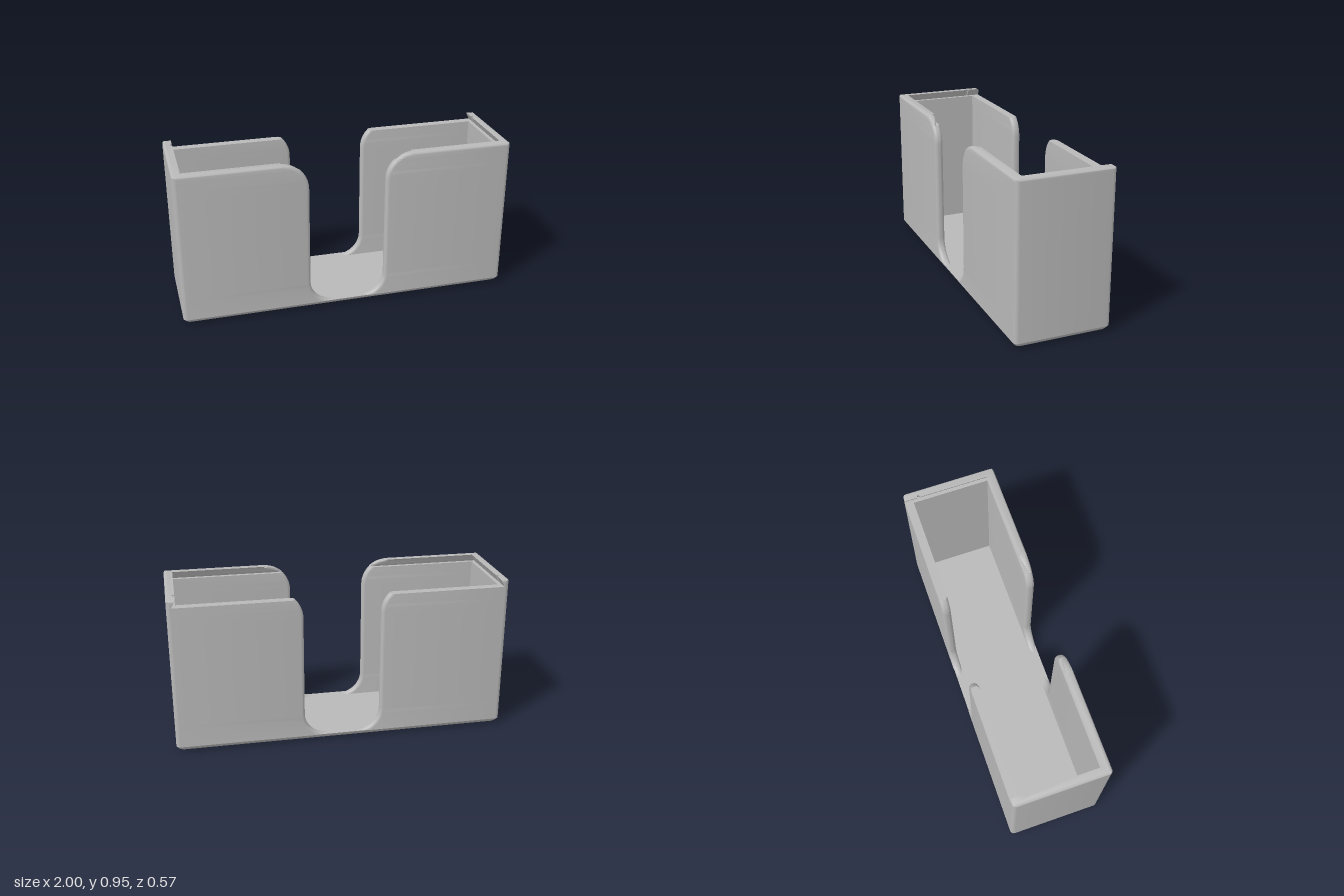
import * as THREE from 'three';
import { toCreasedNormals } from 'three/addons/utils/BufferGeometryUtils.js';

// Overall half length, half depth, height, wall and floor thickness, lid ledge height
const X = 1, Z = 0.287, H = 0.95, WALL = 0.052, FLOOR = 0.035, LEDGE = 0.905;
const CORNER = 0.025, EDGE = 0.02, TOP_EDGE = 0.015, BOTTOM_EDGE = 0.05;
// Finger cutout: half width, lower and upper fillet radii
const CUT = 0.23, LOW_R = 0.14, HIGH_R = 0.16;
const IN_X = X - WALL, IN_Z = Z - WALL;

// Points [x, z] on an arc, angles in degrees
function arc(cx, cz, r, from, to, n = 5) {
  return Array.from({ length: n + 1 }, (_, i) => {
    const a = THREE.MathUtils.degToRad(from + ((to - from) * i) / n);
    return [cx + r * Math.cos(a), cz + r * Math.sin(a)];
  });
}

// Stacks a plan outline at the given heights, moving each point by rule(x, y, z)
function loft(points, heights, rule, side = 1) {
  const shape = new THREE.Shape(points.map(([x, z]) => new THREE.Vector2(x * side, -z)));
  const steps = heights.length - 1;
  const geo = new THREE.ExtrudeGeometry(shape, { depth: steps, steps, bevelEnabled: false });
  const p = geo.attributes.position;
  for (let i = 0; i < p.count; i++) {
    const y = heights[Math.round(p.getZ(i))];
    const [x, z] = rule(p.getX(i) * side, y, -p.getY(i));
    p.setXYZ(i, x * side, y, z);
  }
  return toCreasedNormals(geo, 0.6);
}

// Half width of the cutout at height y, offset d into the wall for its rounded edge
function cutWidth(y, d) {
  const lowY = FLOOR + LOW_R, highY = H - HIGH_R;
  if (y < lowY) return CUT - LOW_R + Math.sqrt((LOW_R + d) ** 2 - (lowY - y) ** 2);
  if (y > highY) return CUT + HIGH_R - Math.sqrt(Math.max(0, (HIGH_R - d) ** 2 - (y - highY) ** 2));
  return CUT + d;
}

const range = (n, f) => Array.from({ length: n + 1 }, (_, i) => f(i / n));

export function createModel() {
  const group = new THREE.Group();
  const grey = new THREE.MeshStandardMaterial({ color: 0xb8b8b8 });
  grey.name = 'grey plastic';
  const add = (name, geo) => {
    const mesh = new THREE.Mesh(geo, grey);
    mesh.name = name;
    group.add(mesh);
  };

  const backCorner = arc(X - CORNER, -Z + CORNER, CORNER, 270, 360);
  const frontCorner = arc(X - CORNER, Z - CORNER, CORNER, 0, 90);
  const frontTip = [
    ...arc(EDGE, Z - EDGE, EDGE, 90, 180),
    ...arc(EDGE, IN_Z + EDGE, EDGE, 180, 270),
  ];
  const backTip = [
    ...arc(EDGE, -IN_Z - EDGE, EDGE, 90, 180),
    ...arc(EDGE, -Z + EDGE, EDGE, 180, 270),
  ];

  // Floor slab with rounded lower edges
  const slab = [
    ...backCorner, ...frontCorner,
    ...arc(-X + CORNER, Z - CORNER, CORNER, 90, 180),
    ...arc(-X + CORNER, -Z + CORNER, CORNER, 180, 270),
  ];
  const slabHeights = range(8, (t) => FLOOR * t * t);
  add('floor', loft(slab, slabHeights, (x, y, z) => {
    const inset = BOTTOM_EDGE - Math.sqrt(BOTTOM_EDGE ** 2 - (BOTTOM_EDGE - y) ** 2);
    return [x - Math.sign(x) * inset, z - Math.sign(z) * inset];
  }));

  // C-shaped wall section whose ends follow the finger cutout
  const wall = [
    ...frontTip, [IN_X, IN_Z], [IN_X, -IN_Z], ...backTip, ...backCorner, ...frontCorner,
  ];
  const arcStart = Math.asin((LEDGE - H + HIGH_R) / HIGH_R);
  const wallHeights = [
    ...range(12, (t) => FLOOR + LOW_R * (1 - Math.cos((t * Math.PI) / 2))),
    ...range(8, (t) => H - HIGH_R + HIGH_R * Math.sin(t * arcStart)),
  ];
  const wallRule = (x, y, z) => [x < 0.1 ? cutWidth(y, x) : x, z];

  // Lid rail above the ledge, undercut inside, open at the back, with a catch notch
  const rail = [
    ...frontTip, [IN_X, IN_Z],
    ...arc(IN_X + 0.005, -0.2, 0.01, 120, -120, 8),
    [IN_X, -Z], ...backCorner, ...frontCorner,
  ];
  const railHeights = range(12, (t) =>
    H - HIGH_R + HIGH_R * Math.sin(arcStart + t * (Math.PI / 2 - arcStart)));
  const railRule = (x, y, z) => {
    const thin = 0.55 + (0.45 * (y - LEDGE)) / (H - LEDGE);
    const over = Math.max(0, y - H + TOP_EDGE);
    const inset = TOP_EDGE - Math.sqrt(Math.max(0, TOP_EDGE ** 2 - over ** 2));
    let nx = x, nz = z;
    if (z > 0.2 && x < 0.97) nz = Z - (Z - z) * thin;
    if (x < 0.1) nx = cutWidth(y, x);
    else if (x > 0.9 && x < 0.97) nx = X - (X - x) * thin;
    return [Math.min(nx, X - inset), THREE.MathUtils.clamp(nz, -Z + inset, Z - inset)];
  };

  for (const [name, side] of [['left', 1], ['right', -1]]) {
    add(`${name}Wall`, loft(wall, wallHeights, wallRule, side));
    add(`${name}LidRail`, loft(rail, railHeights, railRule, side));
  }
  return group;
}
